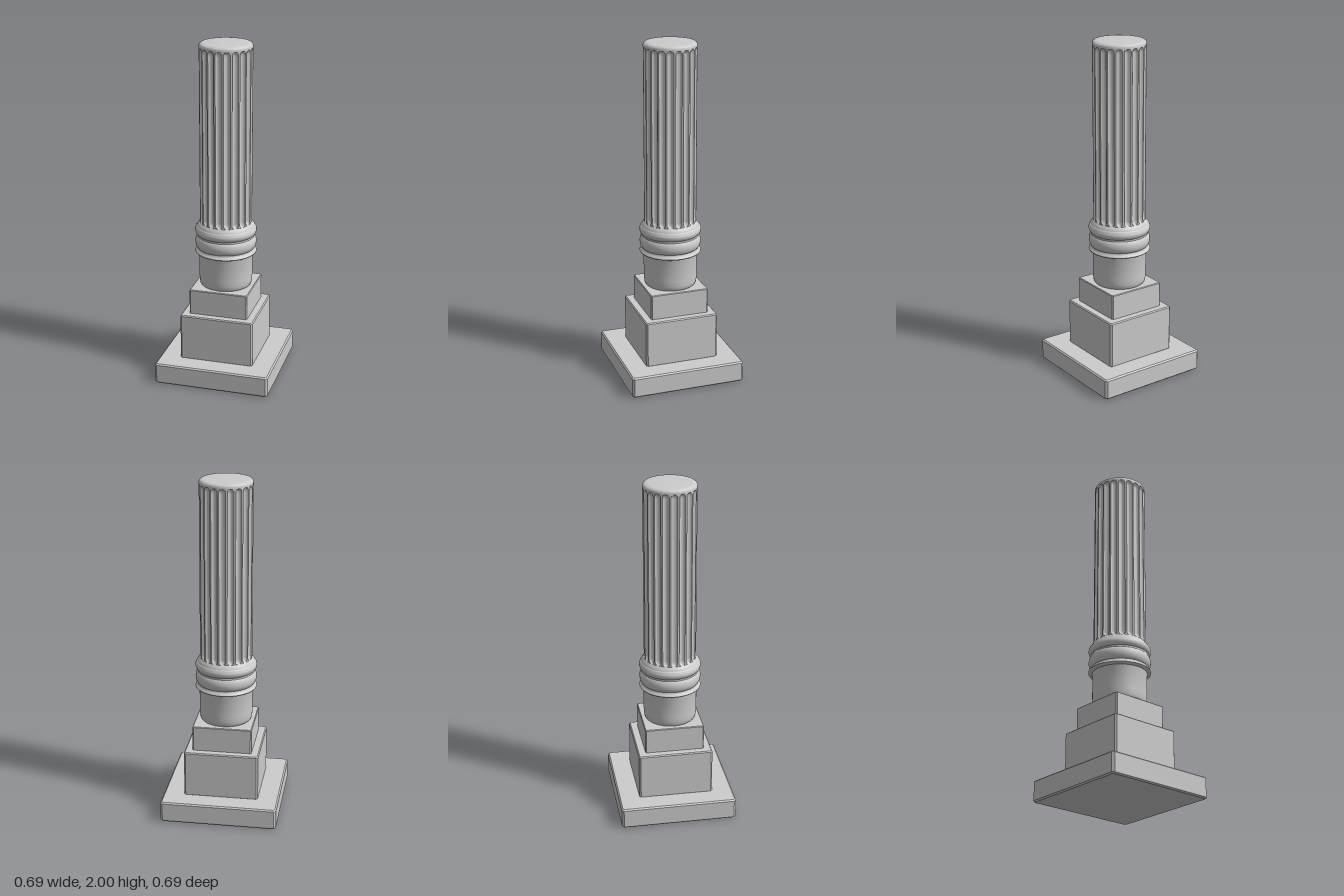
import * as THREE from 'three';
import { mergeVertices, toCreasedNormals } from 'three/addons/utils/BufferGeometryUtils.js';

const stone = new THREE.MeshStandardMaterial({ color: 0xcccccc });
stone.name = 'stone';

function addPart(group, name, geometry) {
  const mesh = new THREE.Mesh(geometry, stone);
  mesh.name = name;
  group.add(mesh);
}

// Square block with every edge chamfered by c
function block(half, y0, y1, c) {
  const a = half - c, b = a - c;
  const shape = new THREE.Shape([
    [a, -b], [a, b], [b, a], [-b, a], [-a, b], [-a, -b], [-b, -a], [b, -a],
  ].map(([x, y]) => new THREE.Vector2(x, y)));
  const g = new THREE.ExtrudeGeometry(shape, {
    depth: y1 - y0 - 2 * c, bevelEnabled: true, bevelSegments: 1, bevelSize: c, bevelThickness: c,
  });
  return g.rotateX(-Math.PI / 2).translate(0, y0 + c, 0);
}

// Turned part from [radius, height] pairs
function turned(points, segments = 72) {
  const g = new THREE.LatheGeometry(points.map(([r, y]) => new THREE.Vector2(r, y)), segments);
  return toCreasedNormals(g, 0.7);
}

// Half-round moulding profile between two heights
function bulge(inner, outer, y0, y1, steps = 12) {
  return Array.from({ length: steps + 1 }, (_, i) => {
    const a = -Math.PI / 2 + (Math.PI * i) / steps;
    return [inner + (outer - inner) * Math.cos(a), (y0 + y1) / 2 + ((y1 - y0) / 2) * Math.sin(a)];
  });
}

// Shaft: a turned cylinder with round-ended flutes pressed into its side
function flutedShaft() {
  const R = 0.153, flutes = 20, perFlute = 10, depth = 0.016;
  const bottom = 0.94, top = 1.975, endLength = 0.03, width = 0.76;
  const pts = [[R, 0.9]];
  for (let i = 0; i <= 8; i++) pts.push([R, bottom + endLength * (1 - Math.cos((i / 8) * Math.PI / 2))]);
  for (let i = 8; i >= 0; i--) pts.push([R, top - endLength * (1 - Math.cos((i / 8) * Math.PI / 2))]);
  pts.push([R, 1.985], [R - 0.003, 1.993], [R - 0.01, 1.998], [R - 0.03, 2], [0, 2]);

  let g = new THREE.LatheGeometry(pts.map(([r, y]) => new THREE.Vector2(r, y)), flutes * perFlute);
  const p = g.attributes.position;
  for (let i = 0; i < p.count; i++) {
    const x = p.getX(i), y = p.getY(i), z = p.getZ(i), r = Math.hypot(x, z);
    if (r < R - 0.001 || y < bottom || y > top) continue;
    const turn = (Math.atan2(x, z) / (2 * Math.PI)) * flutes;
    const across = ((turn - Math.round(turn)) * 2) / width;
    const along = Math.max(0, bottom + endLength - y, y - top + endLength) / endLength;
    const cut = depth * Math.sqrt(Math.max(0, 1 - across * across - along * along));
    p.setX(i, x * (1 - cut / r));
    p.setZ(i, z * (1 - cut / r));
  }
  g.deleteAttribute('uv');
  g.deleteAttribute('normal');
  g = mergeVertices(g, 1e-5);
  g.computeVertexNormals();
  return toCreasedNormals(g, 0.7);
}

export function createModel() {
  const column = new THREE.Group();
  column.name = 'column';

  // Stepped square base
  addPart(column, 'plinth', block(0.343, 0, 0.125, 0.008));
  addPart(column, 'middleBlock', block(0.22, 0.12, 0.4, 0.006));
  addPart(column, 'upperBlock', block(0.175, 0.395, 0.55, 0.004));

  // Plain drum with a softened foot
  addPart(column, 'drum', turned([
    [0, 0.545], [0.14, 0.545], [0.148, 0.552], [0.153, 0.562], [0.156, 0.58],
    [0.157, 0.61], [0.157, 0.74], [0.16, 0.75], [0.16, 0.77],
  ]));

  // Thin flared lip and the two rounded rings
  addPart(column, 'lip', turned([
    [0.15, 0.75], [0.17, 0.752], [0.179, 0.756], [0.181, 0.76], [0.179, 0.765],
    [0.172, 0.77], [0.168, 0.777], [0.167, 0.785], [0.15, 0.79],
  ]));
  addPart(column, 'lowerRing', turned(bulge(0.15, 0.18, 0.775, 0.865)));
  addPart(column, 'collar', turned([[0.168, 0.84], [0.168, 0.89]]));
  addPart(column, 'upperRing', turned(bulge(0.15, 0.181, 0.86, 0.925)));
  addPart(column, 'shaftFoot', turned([
    [0.172, 0.905], [0.169, 0.92], [0.162, 0.931], [0.156, 0.938], [0.152, 0.942],
  ]));

  addPart(column, 'flutedShaft', flutedShaft());
  return column;
}
